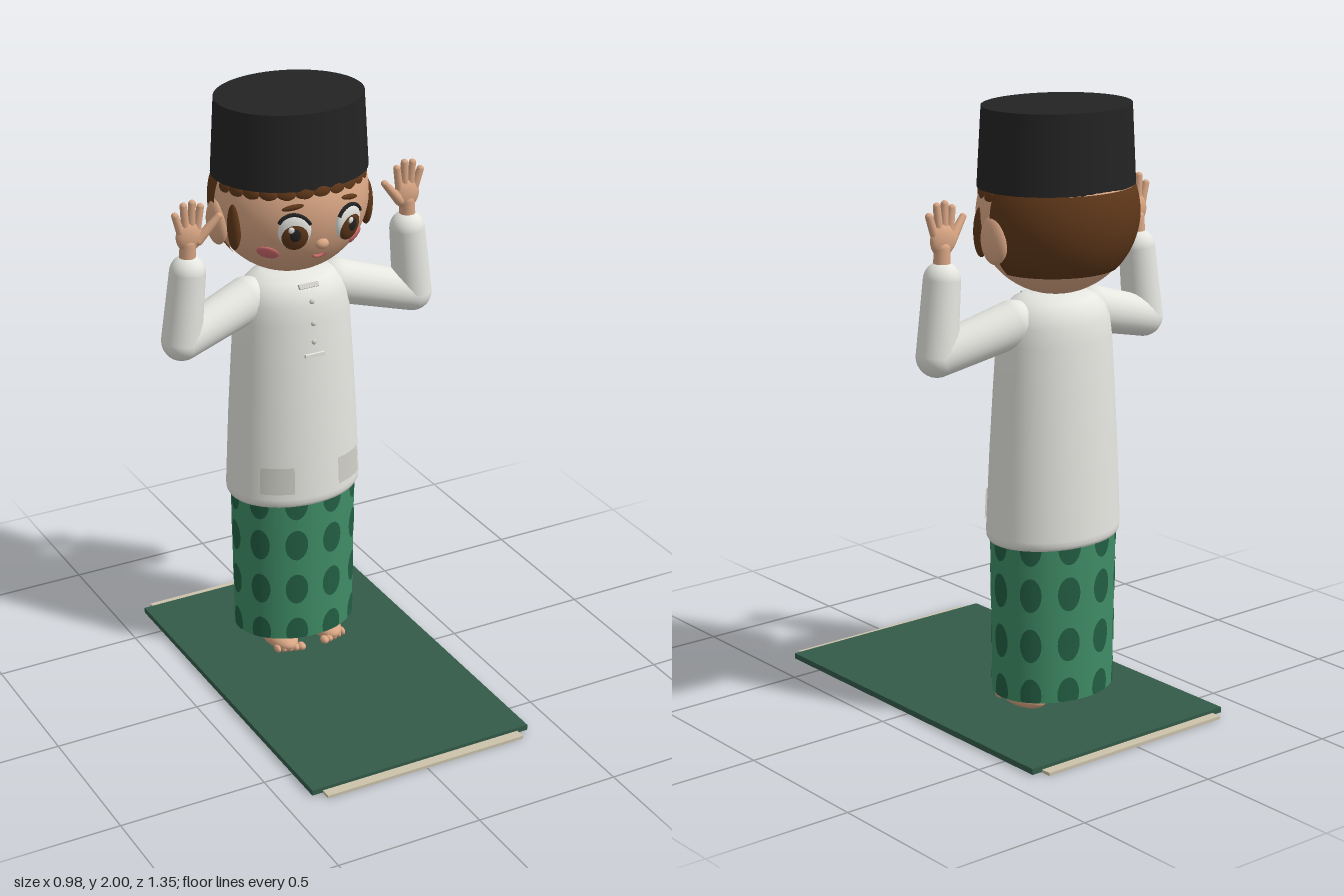
import * as THREE from 'three';

const V = (x, y, z) => new THREE.Vector3(x, y, z);
const BODY_Z = -0.26;
const HEAD = { y: 1.66, z: -0.27, rx: 0.262, ry: 0.255, rz: 0.24 };

function makeMaterials() {
  const colours = {
    skin: 0xd9a684, shirtWhite: 0xe6e6e1, trimGrey: 0xcfcfc7, sarongGreen: 0x3f8d66, spotGreen: 0x235f44,
    matGreen: 0x335b48, fringeBeige: 0xcbc2aa, capBlack: 0x232323, hairBrown: 0x5e3719, blushPink: 0xcc6a6c,
  };
  const mats = {};
  for (const [name, color] of Object.entries(colours)) {
    mats[name] = new THREE.MeshStandardMaterial({ color });
    mats[name].name = name;
  }
  for (const n of ['spotGreen', 'trimGrey', 'hairBrown']) mats[n].side = THREE.DoubleSide;
  return mats;
}

export function createModel() {
  const M = makeMaterials();
  const model = new THREE.Group();
  model.name = 'boyOnMat';

  function add(parent, name, geometry, material, pos = V(0, 0, 0)) {
    const mesh = new THREE.Mesh(geometry, material);
    mesh.name = name;
    mesh.position.copy(pos);
    parent.add(mesh);
    return mesh;
  }
  function ball(parent, name, material, pos, rx, ry = rx, rz = rx, seg = 24) {
    const mesh = add(parent, name, new THREE.SphereGeometry(1, seg, Math.ceil(seg * 0.7)), material, pos);
    mesh.scale.set(rx, ry, rz);
    return mesh;
  }
  const UP = V(0, 1, 0);
  // tapered tube with round ends between two points
  function limb(parent, name, material, a, b, ra, rb, seg = 24) {
    const d = b.clone().sub(a);
    const tube = add(parent, name, new THREE.CylinderGeometry(rb, ra, d.length(), seg, 1, true), material,
      a.clone().add(b).multiplyScalar(0.5));
    tube.quaternion.setFromUnitVectors(UP, d.normalize());
    ball(parent, name + 'Start', material, a, ra, ra, ra, seg);
    ball(parent, name + 'End', material, b, rb, rb, rb, seg);
  }
  // bends a flat -1..1 patch round an elliptical body
  function wrap(geo, angle, halfAngle, y0, halfH, radius, k, minY = 0) {
    const p = geo.attributes.position;
    for (let i = 0; i < p.count; i++) {
      const t = angle + p.getX(i) * halfAngle;
      const y = Math.max(minY, y0 + p.getY(i) * halfH);
      const r = radius(y);
      p.setXYZ(i, Math.sin(t) * r, y, BODY_Z + Math.cos(t) * r * k);
    }
    geo.computeVertexNormals();
    return geo;
  }

  // mat with fringed ends
  add(model, 'mat', new THREE.BoxGeometry(0.8, 0.019, 1.28), M.matGreen, V(0, 0.0145, 0));
  for (const s of [-1, 1])
    add(model, 'matFringe', new THREE.BoxGeometry(0.724, 0.01, 0.05), M.fringeBeige, V(0, 0.008, s * 0.65));

  // sarong with rows of spots
  const sarong = add(model, 'sarong', new THREE.CylinderGeometry(0.219, 0.212, 0.535, 64), M.sarongGreen,
    V(0, 0.3625, BODY_Z));
  sarong.scale.z = 0.8;
  const sarongR = (y) => 0.2135 + (y - 0.095) * 0.0131;
  for (const y of [0.12, 0.29, 0.46, 0.615])
    for (let i = 0; i < 10; i++)
      add(model, 'sarongSpot', wrap(new THREE.RingGeometry(0, 1, 20, 3),
        THREE.MathUtils.degToRad(17 + i * 36), 0.185, y, 0.057, sarongR, 0.802, 0.096), M.spotGreen);

  // shirt
  const profile = [[0, 0.607], [0.2, 0.607], [0.226, 0.61], [0.233, 0.622], [0.235, 0.64], [0.223, 0.9], [0.211, 1.1],
    [0.2, 1.26], [0.192, 1.32], [0.175, 1.36], [0.145, 1.39], [0.1, 1.408], [0, 1.415]];
  const shirt = add(model, 'shirt', new THREE.LatheGeometry(profile.map((p) => new THREE.Vector2(...p)), 64),
    M.shirtWhite, V(0, 0, BODY_Z));
  shirt.scale.z = 0.78;
  const shirtR = (y) => 0.243 - (y - 0.64) * 0.046;
  for (const s of [-1, 1])
    add(model, 'pocket', wrap(new THREE.PlaneGeometry(2, 2, 8, 1), s * 0.61, 0.26, 0.712, 0.048, shirtR, 0.78),
      M.trimGrey);
  const collar = add(model, 'collarTab', new THREE.BoxGeometry(0.07, 0.016, 0.012), M.trimGrey, V(0, 1.382, -0.139));
  collar.rotation.x = -0.6;
  add(model, 'placketEnd', new THREE.BoxGeometry(0.07, 0.012, 0.016), M.shirtWhite, V(0, 1.153, -0.098));
  [[1.335, -0.115], [1.262, -0.104], [1.198, -0.1]].forEach(([y, z]) =>
    ball(model, 'button', M.trimGrey, V(0, y, z), 0.009, 0.009, 0.007, 12));

  // arms, hands and feet
  for (const s of [-1, 1]) {
    const P = (x, y, z) => V(s * x, y, z);
    const arm = new THREE.Group();
    arm.name = s > 0 ? 'leftArm' : 'rightArm';
    model.add(arm);
    limb(arm, 'upperSleeve', M.shirtWhite, P(0.165, 1.325, -0.255), P(0.425, 1.252, -0.205), 0.075, 0.066);
    limb(arm, 'foreSleeve', M.shirtWhite, P(0.425, 1.252, -0.205), P(0.4, 1.487, -0.2), 0.066, 0.059);
    limb(arm, 'wrist', M.skin, P(0.4, 1.53, -0.2), P(0.397, 1.585, -0.198), 0.027, 0.026, 16);
    ball(arm, 'palm', M.skin, P(0.393, 1.61, -0.196), 0.046, 0.052, 0.022);
    [[0.424, 1.63, 0.442, 1.688], [0.406, 1.64, 0.412, 1.716], [0.386, 1.64, 0.382, 1.72], [0.366, 1.63, 0.354, 1.704]]
      .forEach(([x0, y0, x1, y1]) =>
        limb(arm, 'finger', M.skin, P(x0, y0, -0.195), P(x1, y1, -0.192), 0.0135, 0.012, 12));
    limb(arm, 'thumb', M.skin, P(0.365, 1.592, -0.192), P(0.298, 1.668, -0.175), 0.018, 0.011, 12);

    ball(model, 'foot', M.skin, P(0.085, 0.058, -0.21), 0.054, 0.036, 0.105);
    for (let i = 0; i < 5; i++)
      ball(model, 'toe', M.skin, P(0.045 + i * 0.02, 0.048, -0.115 - 0.006 * i), 0.0145 - i * 0.001, 0.014, 0.02, 12);
  }

  // head and ears
  const head = new THREE.Group();
  head.name = 'head';
  model.add(head);
  ball(head, 'face', M.skin, V(0, HEAD.y, HEAD.z), HEAD.rx, HEAD.ry, HEAD.rz, 48);
  for (const s of [-1, 1]) {
    ball(head, 'ear', M.skin, V(s * 0.256, 1.605, -0.277), 0.03, 0.077, 0.057);
    ball(head, 'sideburn', M.hairBrown, V(s * 0.238, 1.615, -0.19), 0.021, 0.08, 0.03);
  }

  // hair: back shell and scalloped front
  const hair = add(head, 'hair', new THREE.SphereGeometry(1, 40, 24, Math.PI, Math.PI, 1.21, 1.1), M.hairBrown,
    V(0, HEAD.y, HEAD.z));
  hair.scale.set(0.27, 0.256, 0.246);
  for (let i = -6; i <= 6; i++) {
    const t = i * 0.24;
    const tuft = ball(head, 'fringeTuft', M.hairBrown,
      V(Math.sin(t) * 0.24, 1.74 - Math.abs(i) * 0.002, HEAD.z + Math.cos(t) * 0.218), 0.036, 0.026, 0.016, 16);
    tuft.rotation.y = t;
  }

  // cap
  const cap = add(head, 'cap', new THREE.CylinderGeometry(0.248, 0.262, 0.25, 64), M.capBlack, V(0, 1.875, -0.267));
  cap.scale.z = 0.863;

  // group lying on the face surface, its +z pointing outward
  function onFace(name, x, y) {
    const dx = x / HEAD.rx, dy = (y - HEAD.y) / HEAD.ry;
    const dz = Math.sqrt(1 - dx * dx - dy * dy);
    const g = new THREE.Group();
    g.name = name;
    g.position.set(x, y, HEAD.z + dz * HEAD.rz);
    g.quaternion.setFromUnitVectors(V(0, 0, 1), V(dx / HEAD.rx, dy / HEAD.ry, dz / HEAD.rz).normalize());
    head.add(g);
    return g;
  }
  for (const s of [-1, 1]) {
    const eye = onFace(s > 0 ? 'leftEye' : 'rightEye', s * 0.095, 1.62);
    ball(eye, 'eyeWhite', M.shirtWhite, V(0, 0.002, 0), 0.053, 0.064, 0.02);
    ball(eye, 'iris', M.hairBrown, V(0, -0.009, 0.005), 0.045, 0.053, 0.02);
    ball(eye, 'pupil', M.capBlack, V(0, -0.004, 0.013), 0.025, 0.031, 0.0145);
    ball(eye, 'highlight', M.shirtWhite, V(-0.014, 0.019, 0.024), 0.01, 0.011, 0.005, 12);
    const lid = add(eye, 'eyelid', new THREE.TorusGeometry(0.054, 0.006, 8, 24, 2.2), M.capBlack, V(0, 0.004, 0.006));
    lid.scale.y = 1.15;
    lid.rotation.z = (Math.PI - 2.2) / 2;
    const brow = onFace('eyebrow', s * 0.1, 1.702);
    ball(brow, 'browHair', M.hairBrown, V(0, 0, 0.002), 0.036, 0.009, 0.009, 16).rotation.z = -s * 0.15;
    ball(onFace('cheek', s * 0.157, 1.537), 'blush', M.blushPink, V(0, 0, 0), 0.037, 0.026, 0.008);
  }
  ball(onFace('nose', 0, 1.565), 'noseTip', M.skin, V(0, 0, 0.003), 0.023, 0.018, 0.018, 16);
  const mouth = onFace('mouth', 0, 1.52);
  add(mouth, 'smile', new THREE.TorusGeometry(0.03, 0.0055, 8, 16, 1.8), M.blushPink, V(0, 0.022, 0.003))
    .rotation.z = -Math.PI / 2 - 0.9;

  return model;
}
